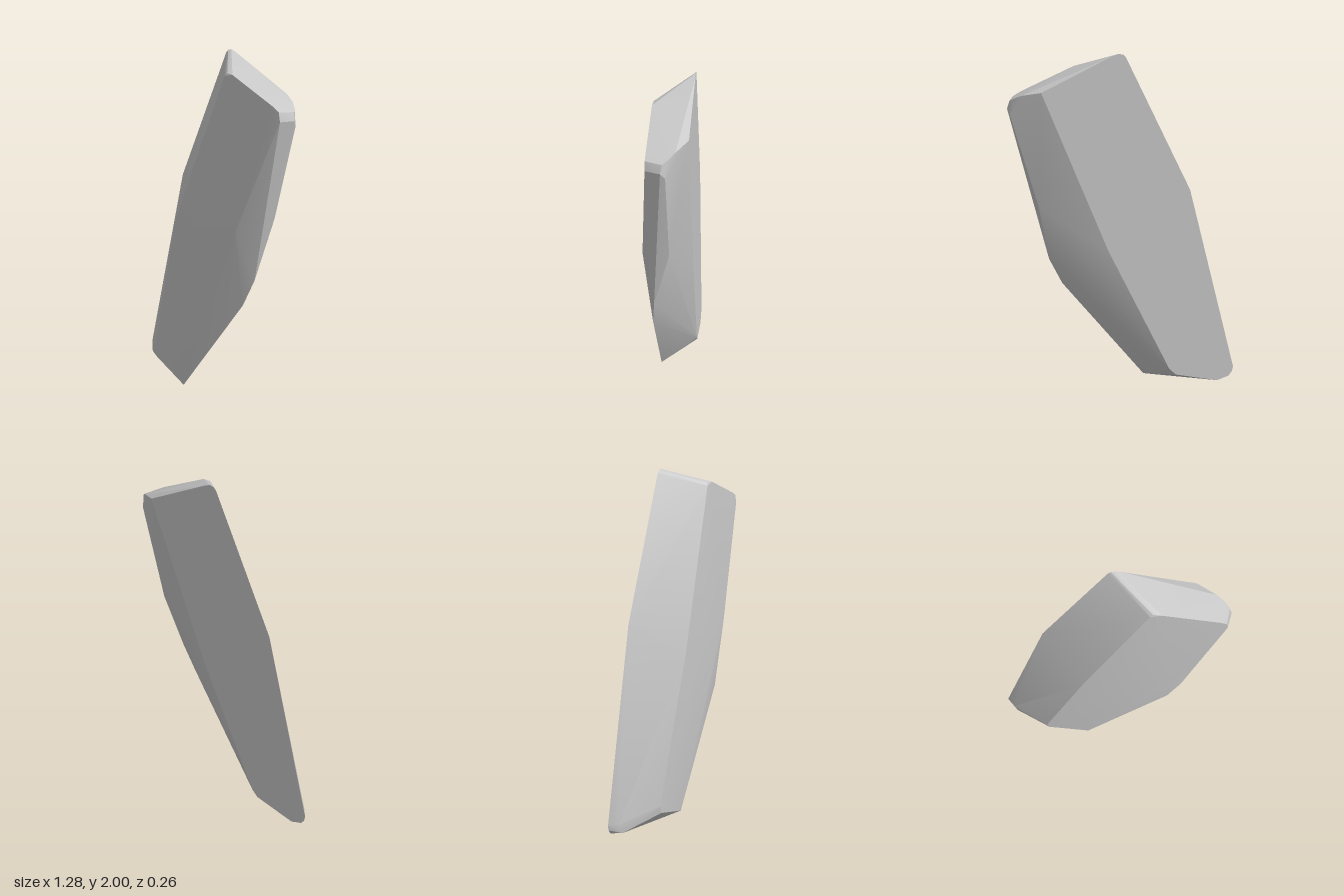
import * as THREE from 'three';
import { ConvexGeometry } from 'three/addons/geometries/ConvexGeometry.js';
import { toCreasedNormals } from 'three/addons/utils/BufferGeometryUtils.js';

const BACK = -0.13;

// Flat back outline (x, y), clockwise from the top corner
const backOutline = [
  [0, 1.98], [0.015, 1.995], [0.04, 2], [0.07, 1.99], [0.46, 1.8], [0.1, 0.88],
  [-0.26, 0.12], [-0.3, 0.08], [-0.55, 0.025], [-0.62, 0.05], [-0.64, 0.08], [-0.645, 0.11], [-0.365, 1.22],
];

// Slanted right flank and its worn upper corner
const flank = [
  [0.56, 1.775, -0.07], [0.6, 1.755, -0.04], [0.625, 1.735, -0.01], [0.638, 1.69, 0], [0.625, 1.66, -0.025],
  [0.48, 1.13, -0.03], [0.42, 0.78, 0.06], [0.345, 0.62, 0.075],
];

// Front face: top edge, raised middle ridge, bottom edge
const front = [
  [0.2, 1.89, 0.08], [0.215, 1.905, 0.075], [0.26, 1.9, 0.08], [0.56, 1.765, 0.08],
  [0.6, 1.74, 0.08], [0.61, 1.69, 0.08],
  [-0.16, 1.02, 0.12], [0.05, 1.05, 0.13], [0.34, 1.06, 0.13],
  [-0.4, 0.16, 0.075], [-0.385, 0.11, 0.075], [-0.14, 0, 0.08],
];

// Worn lower left corner
const corner = [[-0.59, 0.05, -0.07], [-0.605, 0.11, -0.08]];

export function createModel() {
  const stone = new THREE.MeshStandardMaterial({ color: 0xc7c7c7 });
  stone.name = 'stone grey';

  const points = [
    ...backOutline.map(([x, y]) => new THREE.Vector3(x, y, BACK)),
    ...[...flank, ...front, ...corner].map((p) => new THREE.Vector3(...p)),
  ];
  const slab = new THREE.Mesh(toCreasedNormals(new ConvexGeometry(points), 0.3), stone);
  slab.name = 'rockSlab';

  const group = new THREE.Group();
  group.name = 'rock';
  group.add(slab);
  return group;
}
